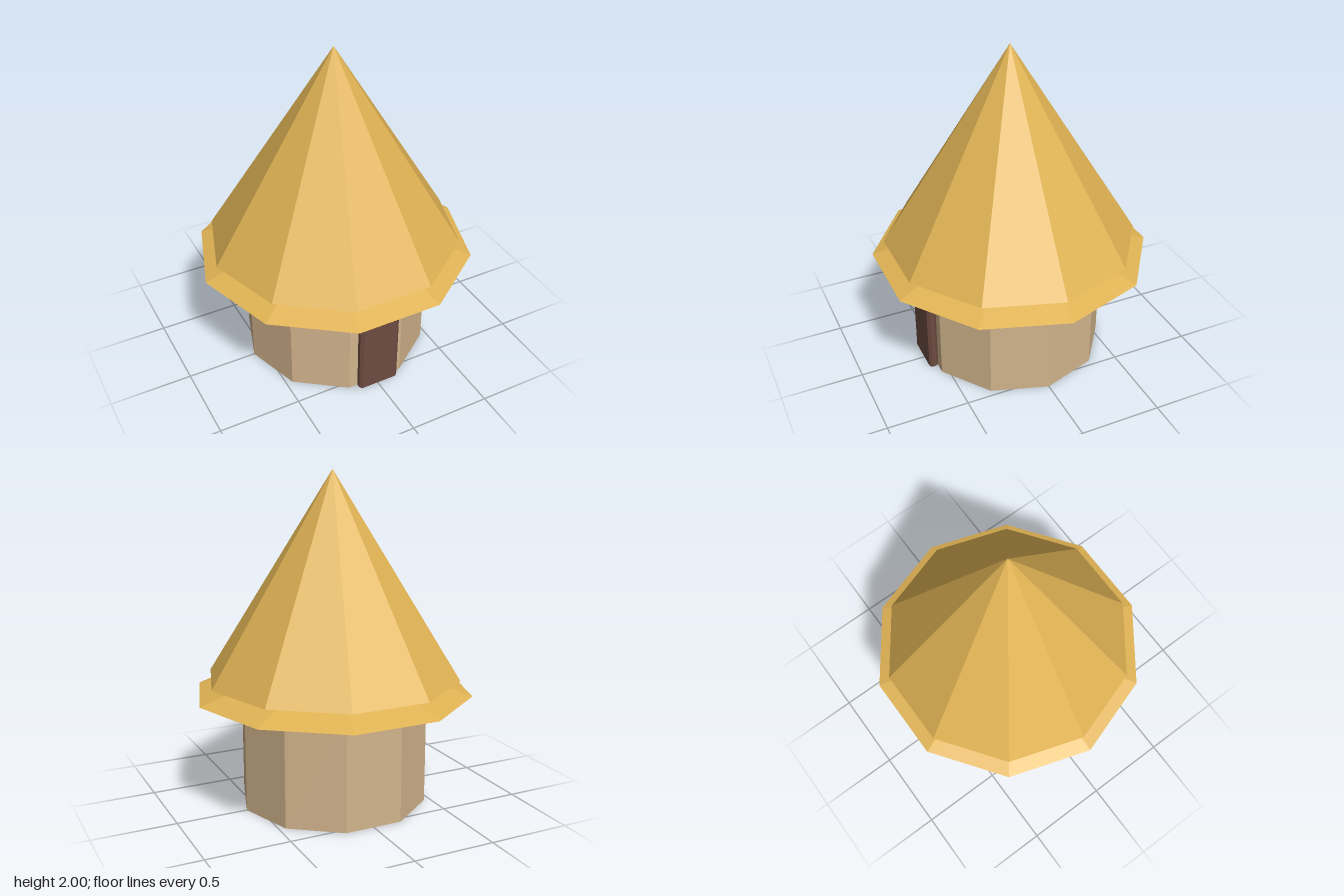
import * as THREE from 'three';
import { ConvexGeometry } from 'three/addons/geometries/ConvexGeometry.js';

const SIDES = 10;

function material(name, color) {
  const m = new THREE.MeshStandardMaterial({ color, flatShading: true });
  m.name = name;
  return m;
}

// Ten-sided tier with a corner on the x axis, spanning y0 to y1
function tier(name, rTop, rBottom, y0, y1, mat) {
  const geo = new THREE.CylinderGeometry(rTop, rBottom, y1 - y0, SIDES, 1, false, Math.PI / 2);
  const mesh = new THREE.Mesh(geo, mat);
  mesh.name = name;
  mesh.position.y = (y0 + y1) / 2;
  return mesh;
}

// Box with every edge cut at 45 degrees
function chamferedBox(w, h, d, c) {
  const points = [];
  for (const sx of [-1, 1]) for (const sy of [-1, 1]) for (const sz of [-1, 1]) {
    const x = w / 2, y = h / 2, z = d / 2;
    points.push(
      new THREE.Vector3(sx * x, sy * (y - c), sz * (z - c)),
      new THREE.Vector3(sx * (x - c), sy * y, sz * (z - c)),
      new THREE.Vector3(sx * (x - c), sy * (y - c), sz * z),
    );
  }
  return new ConvexGeometry(points);
}

export function createModel() {
  const hut = new THREE.Group();
  hut.name = 'hut';

  const clay = material('clay', 0xd2b48c);
  const thatch = material('thatch', 0xe0b354);
  const wood = material('wood', 0x6d4c41);

  // Walls and the two thatch layers
  hut.add(tier('walls', 0.57, 0.57, 0, 0.72, clay));
  hut.add(tier('eaves', 0.54, 0.842, 0.68, 0.78, thatch));
  hut.add(tier('roof', 0, 0.768, 0.77, 2, thatch));

  // Door standing just proud of the front wall
  const door = new THREE.Mesh(chamferedBox(0.26, 0.486, 0.058, 0.017), wood);
  door.name = 'door';
  door.position.set(0, 0.247, 0.572);
  hut.add(door);

  return hut;
}
